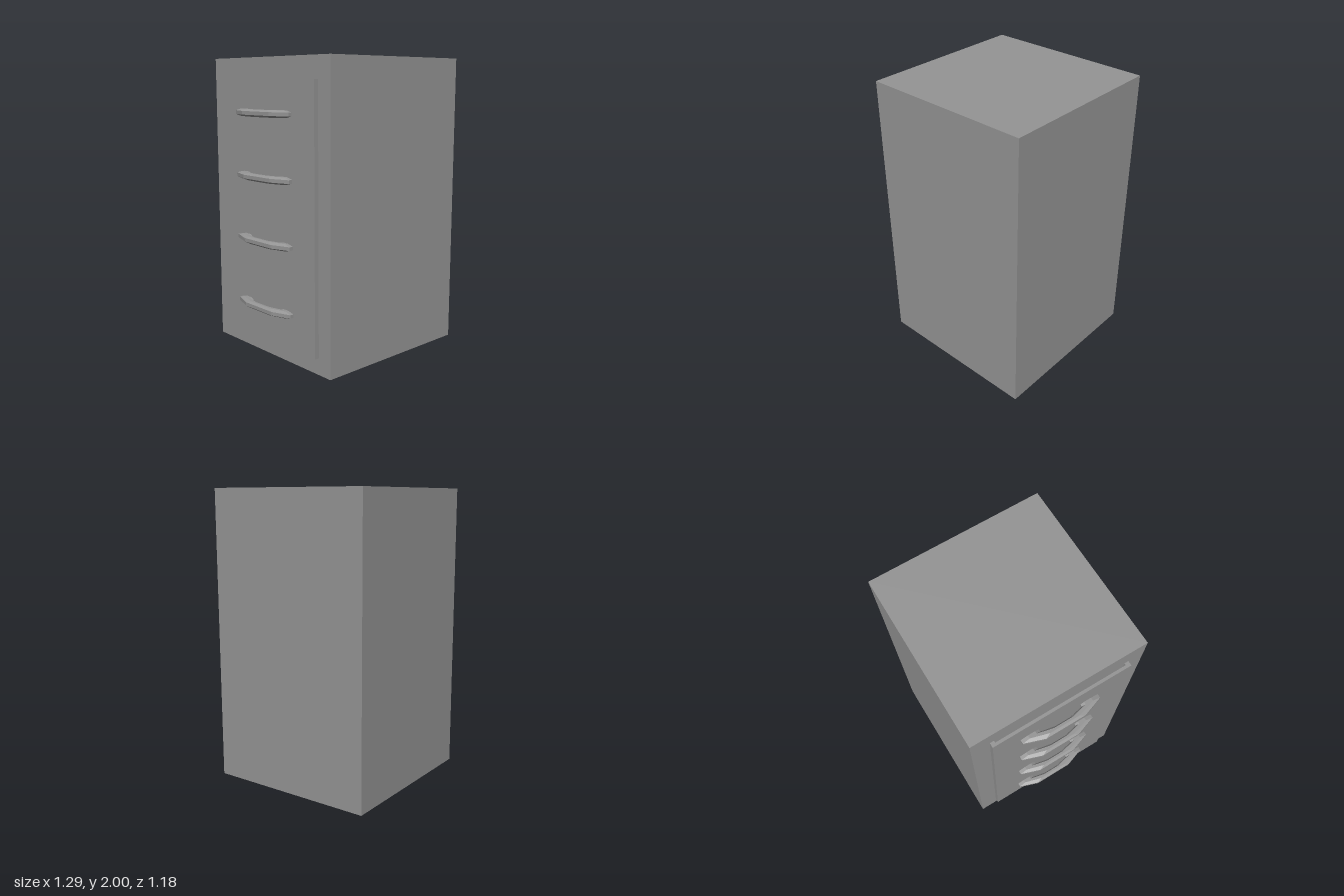
import * as THREE from 'three';

const material = new THREE.MeshStandardMaterial({ color: 0x949494, flatShading: true });

// Box given by its lower and upper corners
function block(name, min, max) {
  const size = max.map((v, i) => v - min[i]);
  const mesh = new THREE.Mesh(new THREE.BoxGeometry(...size), material);
  mesh.position.set(...max.map((v, i) => (v + min[i]) / 2));
  mesh.name = name;
  return mesh;
}

// Drawer front hollowed behind, so its top shows a slot against the cabinet
function hollowFront(name, bottom, top) {
  const outline = [
    [-0.54, -0.468], [-0.572, -0.468], [-0.572, 0.484], [-0.54, 0.484],
    [-0.54, 0.455], [-0.553, 0.455], [-0.553, -0.44], [-0.54, -0.44],
  ];
  const shape = new THREE.Shape(outline.map(([x, z]) => new THREE.Vector2(x, -z)));
  const geometry = new THREE.ExtrudeGeometry(shape, { depth: top - bottom, bevelEnabled: false });
  geometry.rotateX(-Math.PI / 2);
  const mesh = new THREE.Mesh(geometry, material);
  mesh.position.y = bottom;
  mesh.name = name;
  return mesh;
}

// Bow handle: chamfered section swept through [outer x, outer z, inner x, inner z] stations
function handleGeometry() {
  const half = [
    [-0.54, -0.277, -0.54, -0.15],
    [-0.598, -0.277, -0.588, -0.15],
    [-0.645, -0.14, -0.607, -0.05],
  ];
  const mirrored = half.map(([ox, oz, ix, iz]) => [ox, -oz, ix, -iz]).reverse();
  const stations = [...half, ...mirrored];
  // [position from outer to inner edge, height]
  const section = [
    [0, -0.012], [0, 0.012], [0.4, 0.024], [0.8, 0.024],
    [1, 0.012], [1, -0.012], [0.8, -0.024], [0.4, -0.024],
  ];
  const n = section.length;
  const positions = [];
  const index = [];
  stations.forEach(([ox, oz, ix, iz], s) => {
    section.forEach(([t, h], j) => {
      positions.push(ox + (ix - ox) * t, h, oz + (iz - oz) * t);
      if (s === stations.length - 1) return;
      const a = s * n + j;
      const b = s * n + (j + 1) % n;
      index.push(a, a + n, b, b, a + n, b + n);
    });
  });
  const geometry = new THREE.BufferGeometry();
  geometry.setAttribute('position', new THREE.Float32BufferAttribute(positions, 3));
  geometry.setIndex(index);
  geometry.computeVertexNormals();
  return geometry;
}

export function createModel() {
  const model = new THREE.Group();
  model.name = 'drawerCabinet';

  // Cabinet body
  model.add(block('cabinetBody', [-0.54, 0, -0.592], [0.645, 2, 0.592]));

  // Raised drawer fronts, meeting at a fine seam
  model.add(block('lowerDrawerFront', [-0.572, 0.112, -0.468], [-0.54, 0.57, 0.484]));
  model.add(hollowFront('upperDrawerFront', 0.57, 1.857));

  // Four drawer handles
  const geometry = handleGeometry();
  [0.345, 0.794, 1.223, 1.642].forEach((y, i) => {
    const handle = new THREE.Mesh(geometry, material);
    handle.position.set(0, y, -0.003);
    handle.name = `drawerHandle${i + 1}`;
    model.add(handle);
  });

  return model;
}
